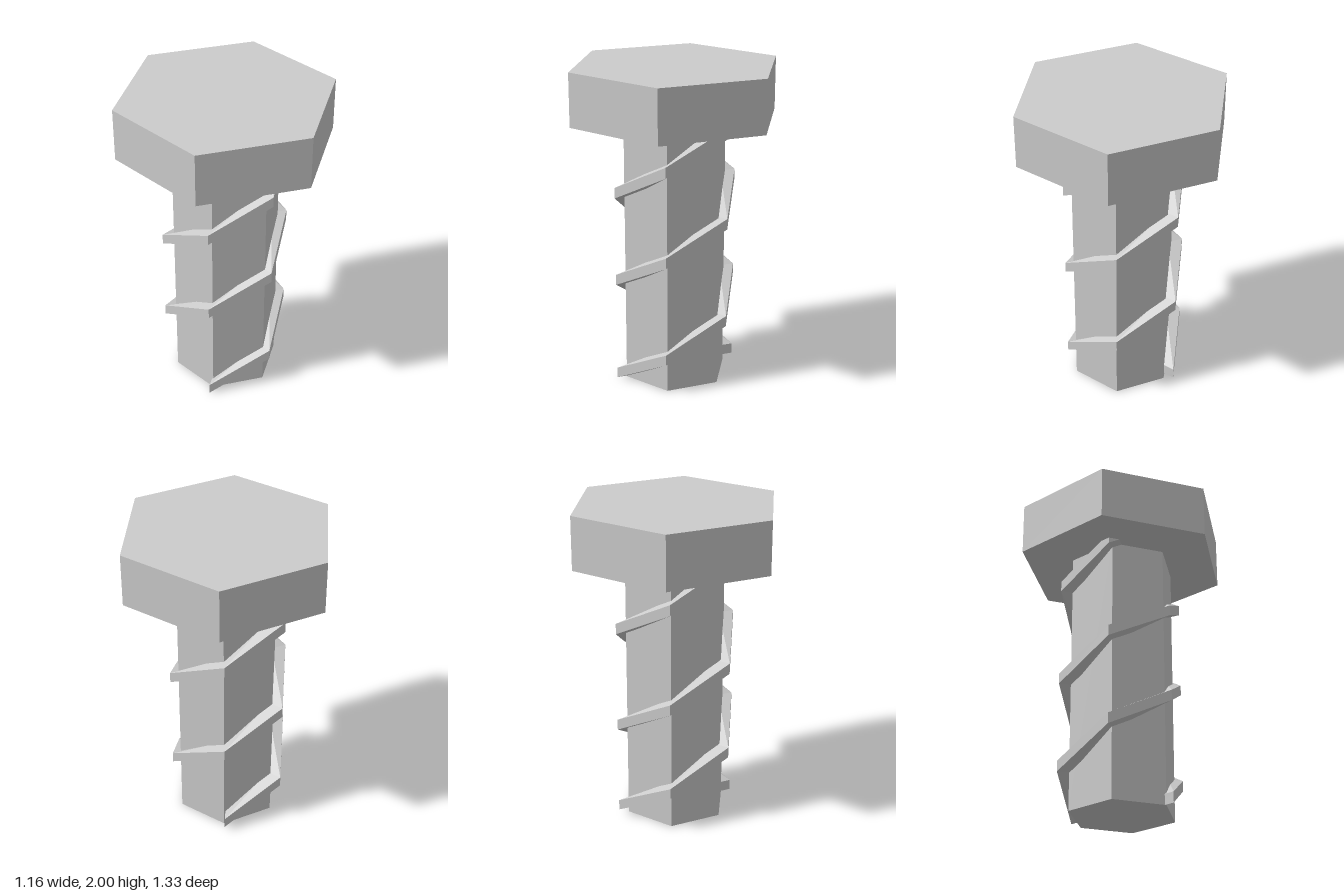
import * as THREE from 'three';

const material = new THREE.MeshStandardMaterial({ color: 0xcccccc, flatShading: true });

// Six-sided prism with corners on the z axis
function hexPrism(name, radius, bottom, top) {
  const mesh = new THREE.Mesh(new THREE.CylinderGeometry(radius, radius, top - bottom, 6), material);
  mesh.position.y = (bottom + top) / 2;
  mesh.name = name;
  return mesh;
}

// Rectangular ridge climbing 0.2 per hexagon side, starting at a given corner
function thread(name, startCorner, startY) {
  const inner = 0.3, outer = 0.398, height = 0.067, rise = 0.2, sides = 9;
  const rings = [];
  for (let k = 0; k <= sides; k++) {
    const angle = (startCorner + k) * Math.PI / 3;
    const y = startY + k * rise;
    rings.push([[inner, y], [outer, y], [outer, y + height], [inner, y + height]]
      .map(([r, h]) => [r * Math.sin(angle), h, r * Math.cos(angle)]));
  }
  const positions = [];
  const quad = (a, b, c, d) => positions.push(...a, ...b, ...c, ...a, ...c, ...d);
  for (let k = 0; k < sides; k++) {
    const p = rings[k], q = rings[k + 1];
    for (let i = 0; i < 4; i++) {
      const j = (i + 1) % 4;
      quad(p[i], q[i], q[j], p[j]);
    }
  }
  // End caps
  quad(...rings[0]);
  quad(...[...rings[sides]].reverse());

  const geometry = new THREE.BufferGeometry();
  geometry.setAttribute('position', new THREE.Float32BufferAttribute(positions, 3));
  geometry.computeVertexNormals();
  const mesh = new THREE.Mesh(geometry, material);
  mesh.position.z = -0.01;
  mesh.name = name;
  return mesh;
}

export function createModel() {
  const bolt = new THREE.Group();
  bolt.name = 'hexBolt';
  bolt.add(
    hexPrism('head', 0.667, 1.67, 2),
    hexPrism('shaft', 0.333, 0, 1.67),
    // Two interleaved threads on opposite sides
    thread('firstThread', -1, 0),
    thread('secondThread', 2, 0.035),
  );
  return bolt;
}
